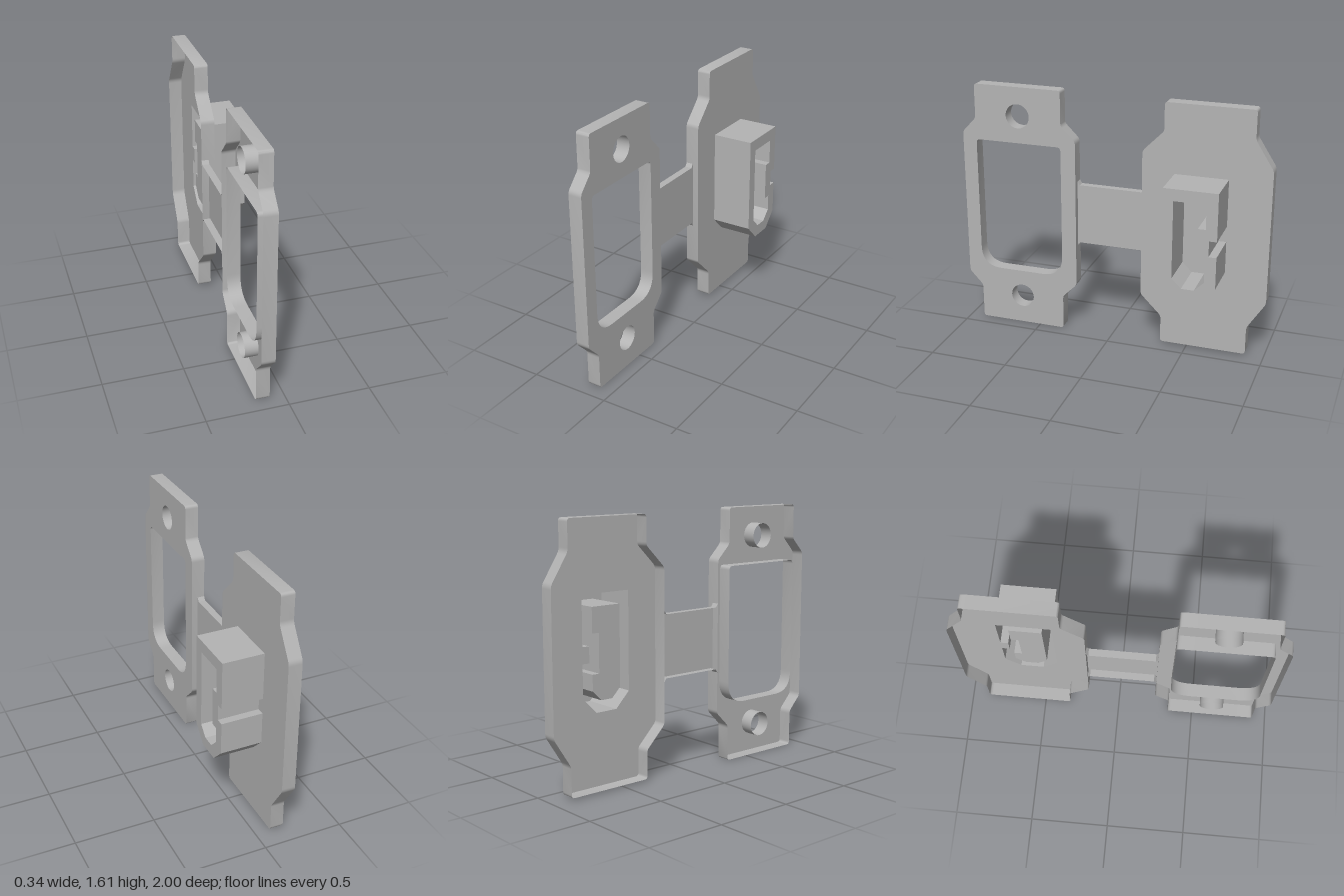
import * as THREE from 'three';
import { toCreasedNormals } from 'three/addons/utils/BufferGeometryUtils.js';

const BACK = -0.175, FACE = -0.09, TIP = 0.17, STRAP = -0.13;

// Outline from [z, y, radius] corners; drawn in a plane whose axes are (-z, y)
function outline(corners, radius = 0) {
  const v = corners.map(([z, y]) => new THREE.Vector2(-z, y));
  const points = [];
  v.forEach((p, i) => {
    const r = corners[i][2] ?? radius;
    if (!r) return points.push(p);
    const toward = (q) => p.clone().add(q.clone().sub(p).setLength(r));
    const a = toward(v[(i + v.length - 1) % v.length]);
    const b = toward(v[(i + 1) % v.length]);
    const steps = r > 0.05 ? 10 : 4;
    points.push(...new THREE.QuadraticBezierCurve(a, p, b).getPoints(steps));
  });
  return points;
}

function circle(z, y, r) {
  return Array.from({ length: 32 }, (_, i) => {
    const a = (i / 32) * Math.PI * 2;
    return new THREE.Vector2(-z + r * Math.cos(a), y + r * Math.sin(a));
  });
}

// Flat sheet with holes at depth x
function sheet(points, x, holes = []) {
  const shape = new THREE.Shape(points);
  shape.holes = holes.map((h) => new THREE.Path(h));
  return new THREE.ShapeGeometry(shape).translate(0, 0, x);
}

// Thin wall following an outline between two depths
function wall(points, x0, x1, closed = true) {
  const pos = [];
  const n = points.length;
  for (let i = 0; i < (closed ? n : n - 1); i++) {
    const p = points[i], q = points[(i + 1) % n];
    if (p.distanceTo(q) < 1e-6) continue;
    pos.push(p.x, p.y, x0, q.x, q.y, x0, q.x, q.y, x1);
    pos.push(p.x, p.y, x0, q.x, q.y, x1, p.x, p.y, x1);
  }
  const g = new THREE.BufferGeometry();
  g.setAttribute('position', new THREE.Float32BufferAttribute(pos, 3));
  return toCreasedNormals(g, 0.6);
}

export function createModel() {
  const model = new THREE.Group();
  model.name = 'coverAndFrame';
  const grey = new THREE.MeshStandardMaterial({ color: 0xb4b4b4, side: THREE.DoubleSide });
  grey.name = 'grey plastic';

  const body = new THREE.Group();
  body.name = 'body';
  body.rotation.y = Math.PI / 2;
  model.add(body);
  const add = (name, geometry) => {
    const mesh = new THREE.Mesh(geometry, grey);
    mesh.name = name;
    body.add(mesh);
  };

  // Mounting frame: shallow tray open at the back, with window and screw holes
  const frame = outline([
    [0.91, 0], [0.335, 0], [0.335, 0.23], [0.24, 0.325], [0.24, 1.295], [0.335, 1.39],
    [0.335, 1.612], [0.91, 1.612], [0.91, 1.39], [1, 1.295], [1, 0.325], [0.91, 0.23],
  ], 0.02);
  const frameWindow = outline([
    [0.908, 0.37, 0.14], [0.337, 0.37, 0.14], [0.337, 1.25, 0.025], [0.908, 1.25, 0.025],
  ]);
  const screwHoles = [0.192, 1.425].map((y) => circle(0.622, y, 0.078));
  add('frameFace', sheet(frame, FACE, [frameWindow, ...screwHoles]));
  add('frameRim', wall(frame, BACK, FACE));
  add('frameWindowRim', wall(frameWindow, BACK, FACE));
  screwHoles.forEach((hole) => add('screwBoss', wall(hole, BACK, FACE)));

  // Socket outlines on the cover
  const housing = outline([
    [-0.4, 1.16], [-0.4, 0.557], [-0.495, 0.46], [-0.64, 0.46], [-0.735, 0.557],
    [-0.735, 0.76], [-0.687, 0.76], [-0.687, 0.86], [-0.735, 0.86], [-0.735, 1.16],
  ]);
  const pocket = outline([
    [-0.465, 1.085], [-0.465, 0.59], [-0.525, 0.53], [-0.605, 0.53], [-0.665, 0.59],
    [-0.665, 0.69], [-0.617, 0.69], [-0.617, 0.93], [-0.665, 0.93], [-0.665, 1.085],
  ]);

  // Cover plate: shallow tray open at the back
  const cover = outline([
    [-0.33, 0.015], [-0.885, 0.015], [-0.885, 0.2], [-1, 0.38], [-1, 1.24], [-0.885, 1.42],
    [-0.885, 1.602], [-0.33, 1.602], [-0.33, 1.42], [-0.195, 1.285], [-0.195, 0.33], [-0.33, 0.195],
  ], 0.02);
  add('coverFace', sheet(cover, FACE, [housing]));
  add('coverRim', wall(cover, BACK, FACE));

  // Socket housing with a closed inner pocket
  add('socketHousing', wall(housing, FACE, TIP));
  add('socketFront', sheet(housing, TIP, [pocket]));
  add('socketPocketWall', wall(pocket, FACE, TIP));
  add('socketPocketFloor', sheet(pocket, FACE));

  // Hinge strap with slightly flared ends
  const lower = [[0.24, 0.59], [0.225, 0.612], [-0.18, 0.612], [-0.195, 0.59]];
  const upper = [[-0.195, 1.025], [-0.18, 1.002], [0.225, 1.002], [0.24, 1.025]];
  add('strapFace', sheet(outline([...lower, ...upper]), STRAP));
  [lower, upper].forEach((edge) => add('strapRim', wall(outline(edge), BACK, STRAP, false)));

  return model;
}
